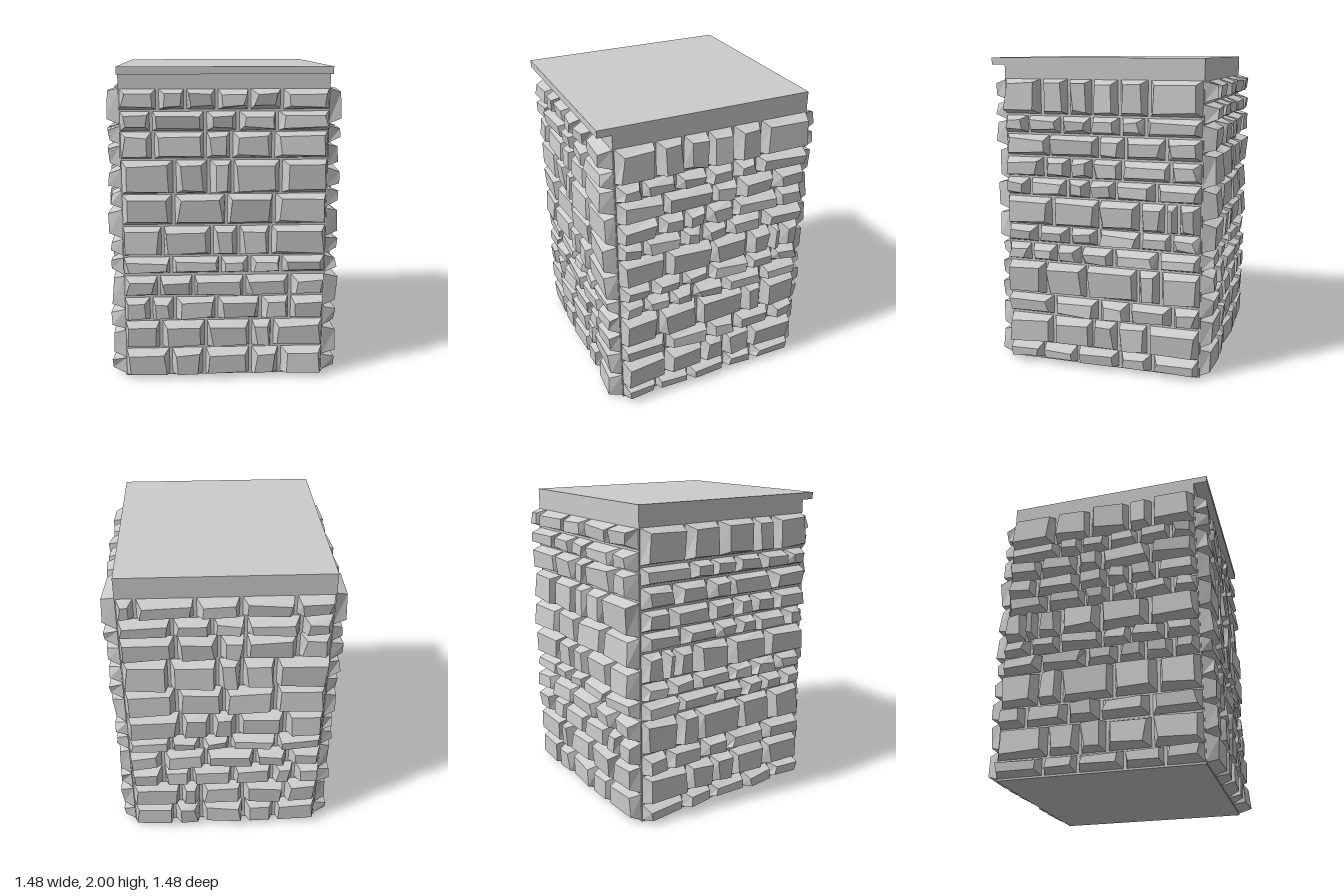
import * as THREE from 'three';
import { mergeGeometries } from 'three/addons/utils/BufferGeometryUtils.js';

const HALF = 0.645; // half width of the core
const GAP = 0.016;  // mortar joint between stones

// Each course: top, bottom, then the joints across the wall (left to right, seen from outside)
const WIDE_COURSES = [
  [1.865, 1.74, -0.41, -0.24, -0.05, 0.15, 0.35],
  [1.73, 1.61, -0.45, -0.12, 0.08, 0.32],
  [1.605, 1.44, -0.44, -0.12, 0.04, 0.3],
  [1.43, 1.22, -0.31, -0.1, 0.05, 0.35],
  [1.215, 1.02, -0.32, 0.01, 0.31],
  [1.01, 0.82, -0.39, -0.08, 0.09, 0.29],
  [0.81, 0.7, -0.34, -0.03, 0.16, 0.36],
  [0.685, 0.55, -0.42, -0.2, 0.13, 0.42],
  [0.54, 0.39, -0.47, -0.32, -0.05, 0.23, 0.42],
  [0.38, 0.2, -0.41, -0.12, 0.17, 0.31],
  [0.19, 0.01, -0.35, -0.13, 0.17, 0.36],
];
const NARROW_COURSES = [
  [1.87, 1.65, -0.39, -0.21, -0.05, 0.12, 0.31],
  [1.64, 1.53, -0.48, -0.26, -0.06, 0.13, 0.29],
  [1.52, 1.385, -0.34, -0.01, 0.16, 0.42],
  [1.375, 1.25, -0.38, -0.2, -0.05, 0.14, 0.45],
  [1.24, 1.125, -0.48, -0.23, -0.07, 0.1, 0.36],
  [1.115, 0.93, -0.33, -0.01, 0.26, 0.42, 0.5],
  [0.925, 0.815, -0.43, -0.21, -0.02, 0.26, 0.46],
  [0.805, 0.69, -0.48, -0.3, -0.13, 0.08, 0.38],
  [0.68, 0.465, -0.38, -0.1, 0.24, 0.39],
  [0.455, 0.325, -0.33, -0.02, 0.19, 0.47],
  [0.315, 0.125, -0.34, -0.06, 0.11, 0.31],
  [0.12, 0.01, -0.41, -0.17, 0.12, 0.34],
];

function seeded(seed) {
  return () => {
    seed = (seed * 16807) % 2147483647;
    return seed / 2147483647;
  };
}

// Reverse the joints of every course, with a different top course
function mirrored(courses, topJoints) {
  return courses.map(([top, bottom, ...joints], i) =>
    [top, bottom, ...(i === 0 ? topJoints : joints.map((j) => -j).reverse())]);
}

// One rough-cut stone: a block whose outer face is smaller, skewed and tilted
function stone(x0, x1, y0, y1, rand) {
  const w = x1 - x0, h = y1 - y0;
  const range = (a, b) => a + (b - a) * rand();
  const geo = new THREE.BoxGeometry(w, h, 1);
  const insets = [0, 1, 2, 3].map(() => [
    Math.min(range(0.012, 0.042), w * 0.3),
    Math.min(range(0.018, 0.034), h * 0.3),
  ]);
  const depth = range(0.068, 0.08);
  const tiltX = range(-0.013, 0.013) / w, tiltY = range(-0.01, 0.01) / h;
  const p = geo.attributes.position;
  for (let i = 0; i < p.count; i++) {
    let x = p.getX(i), y = p.getY(i), z = -0.005;
    if (p.getZ(i) > 0) {
      const [ix, iy] = insets[(x > 0 ? 1 : 0) + (y > 0 ? 2 : 0)];
      x -= Math.sign(x) * ix;
      y -= Math.sign(y) * iy;
      z = depth + 2 * (x * tiltX + y * tiltY);
    }
    p.setXYZ(i, x + (x0 + x1) / 2, y + (y0 + y1) / 2, z);
  }
  const flat = geo.toNonIndexed();
  flat.computeVertexNormals();
  return flat;
}

// All stones on one side, turned about y into place
function stoneWall(name, courses, angle, seed, material) {
  const rand = seeded(seed);
  const stones = [];
  for (const [top, bottom, ...joints] of courses) {
    const edges = [-HALF - GAP / 2 + 0.005, ...joints, HALF + GAP / 2 - 0.005];
    for (let i = 0; i < edges.length - 1; i++) {
      stones.push(stone(edges[i] + GAP / 2, edges[i + 1] - GAP / 2, bottom, top, rand));
    }
  }
  const geo = mergeGeometries(stones);
  geo.translate(0, 0, HALF);
  geo.rotateY(angle);
  const mesh = new THREE.Mesh(geo, material);
  mesh.name = name;
  return mesh;
}

export function createModel() {
  const group = new THREE.Group();
  group.name = 'stonePillar';
  const grey = new THREE.MeshStandardMaterial({ color: 0xcccccc });
  grey.name = 'stone grey';

  // Plain square core
  const core = new THREE.Mesh(new THREE.BoxGeometry(HALF * 2, 2, HALF * 2), grey);
  core.name = 'core';
  core.position.y = 1;

  // Thin ledge along the front of the top
  const lip = new THREE.Mesh(new THREE.BoxGeometry(HALF * 2, 0.045, 0.09), grey);
  lip.name = 'frontLedge';
  lip.position.set(0, 1.9775, HALF + 0.045);

  group.add(
    core,
    lip,
    stoneWall('frontStones', WIDE_COURSES, 0, 11, grey),
    stoneWall('leftStones', NARROW_COURSES, Math.PI / 2, 2027, grey),
    stoneWall('backStones', mirrored(WIDE_COURSES, [-0.53, -0.18, 0.09, 0.41]), Math.PI, 30011, grey),
    stoneWall('rightStones', mirrored(NARROW_COURSES, [-0.33, -0.08, 0.2, 0.36]), -Math.PI / 2, 400009, grey),
  );
  return group;
}
